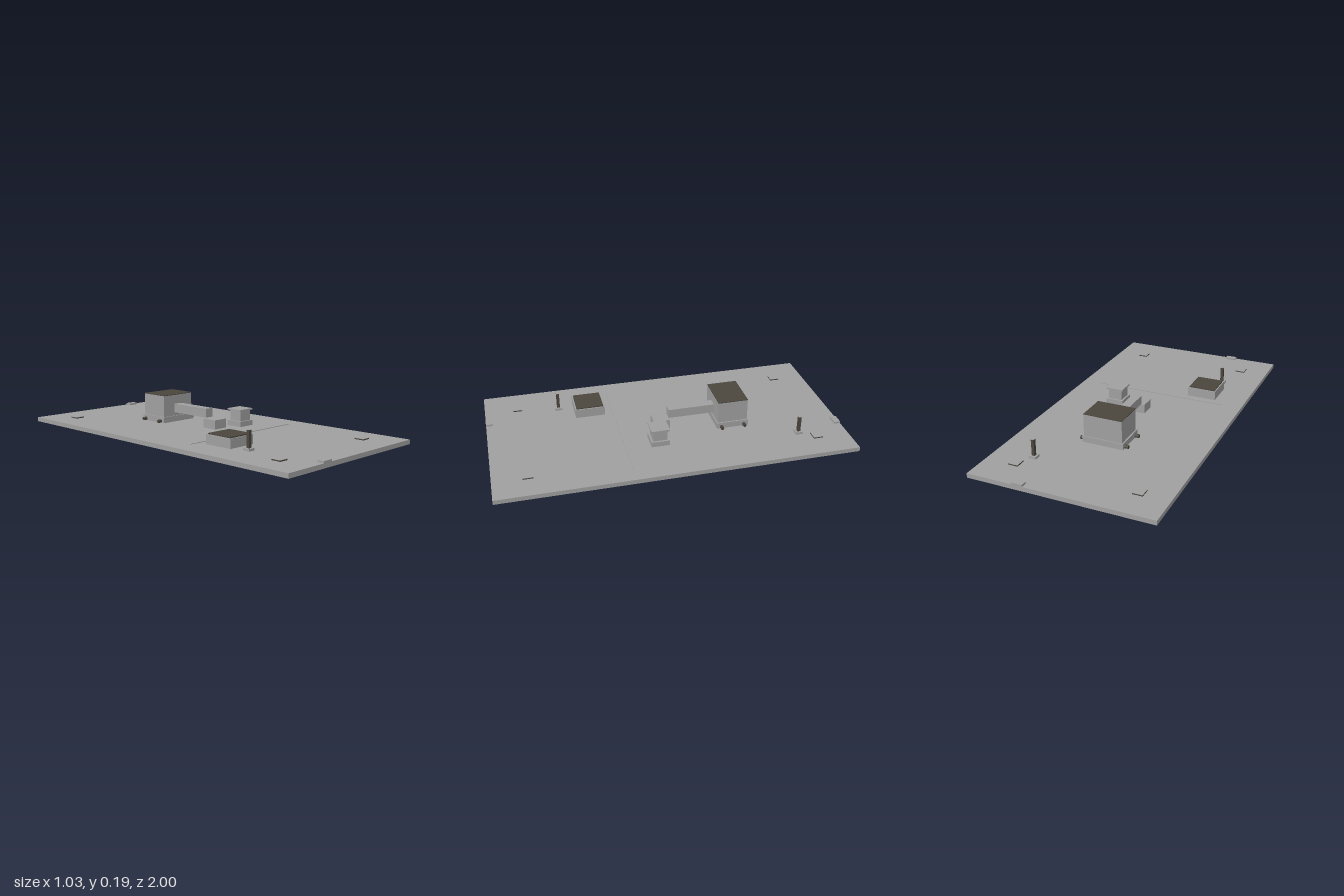
import * as THREE from 'three';

export function createModel() {
  const model = new THREE.Group();
  const grey = new THREE.MeshStandardMaterial({ color: 0xa0a0a0 });
  grey.name = 'grey';
  const dark = new THREE.MeshStandardMaterial({ color: 0x4b463e });
  dark.name = 'dark brown';
  const TOP = 0.025; // upper surface of the ground slab

  // Box given by its centre in plan, plan size and height range
  function box(name, material, x, z, w, d, y0, y1) {
    const mesh = new THREE.Mesh(new THREE.BoxGeometry(w, y1 - y0, d), material);
    mesh.name = name;
    mesh.position.set(x, (y0 + y1) / 2, z);
    model.add(mesh);
    return mesh;
  }

  // Ground slab and the thin line across it
  box('groundSlab', grey, 0, 0, 1.026, 2, 0, TOP);
  box('groundLine', grey, 0, 0.26, 0.8, 0.004, TOP, 0.028);

  // Main building on its plinth, with a dark roof
  box('mainPlinth', grey, 0.023, -0.381, 0.24, 0.186, TOP, 0.06);
  box('mainBody', grey, 0.023, -0.381, 0.224, 0.174, 0.06, 0.186);
  box('mainRoof', dark, 0.023, -0.381, 0.224, 0.174, 0.186, 0.19);

  // Small round feet beside the plinth
  for (const side of [-1, 1]) {
    for (const z of [-0.448, -0.314]) {
      const foot = new THREE.Mesh(new THREE.CylinderGeometry(0.01, 0.01, 0.025, 12), dark);
      foot.name = 'sideFoot';
      foot.rotation.z = Math.PI / 2;
      foot.position.set(0.023 + side * 0.13, 0.036, z);
      model.add(foot);
    }
  }

  // Raised passage and the block at its end
  box('passage', grey, 0.023, -0.16, 0.053, 0.27, 0.08, 0.132);
  box('endBlock', grey, 0.023, 0.02, 0.092, 0.094, TOP, 0.078);

  // Small tower with a wider base and cap
  box('towerBase', grey, 0.188, 0.067, 0.104, 0.104, TOP, 0.055);
  box('towerBody', grey, 0.188, 0.067, 0.082, 0.082, 0.055, 0.116);
  box('towerCap', grey, 0.188, 0.067, 0.104, 0.104, 0.116, 0.125);

  // Low building with a dark roof
  box('lowBody', grey, -0.25, 0.396, 0.172, 0.172, TOP, 0.078);
  box('lowRoof', dark, -0.25, 0.396, 0.158, 0.158, 0.078, 0.084);

  // Two posts on square bases
  for (const [x, z] of [[0.29, -0.725], [-0.294, 0.569]]) {
    box('postBase', grey, x, z, 0.04, 0.04, TOP, 0.038);
    box('post', dark, x, z, 0.017, 0.017, 0.038, 0.13);
    box('postCap', grey, x, z, 0.017, 0.017, 0.13, 0.132);
  }

  // Corner pads with light tops
  for (const x of [-0.346, 0.344]) {
    for (const z of [-0.815, 0.81]) {
      box('cornerPad', dark, x, z, 0.055, 0.055, TOP, 0.031);
      box('cornerPadTop', grey, x, z, 0.055, 0.055, 0.031, 0.033);
    }
  }

  // Markers on the two short edges
  for (const s of [-1, 1]) box('edgeMarker', grey, -s * 0.223, s * 0.982, 0.062, 0.036, TOP, 0.036);

  return model;
}
